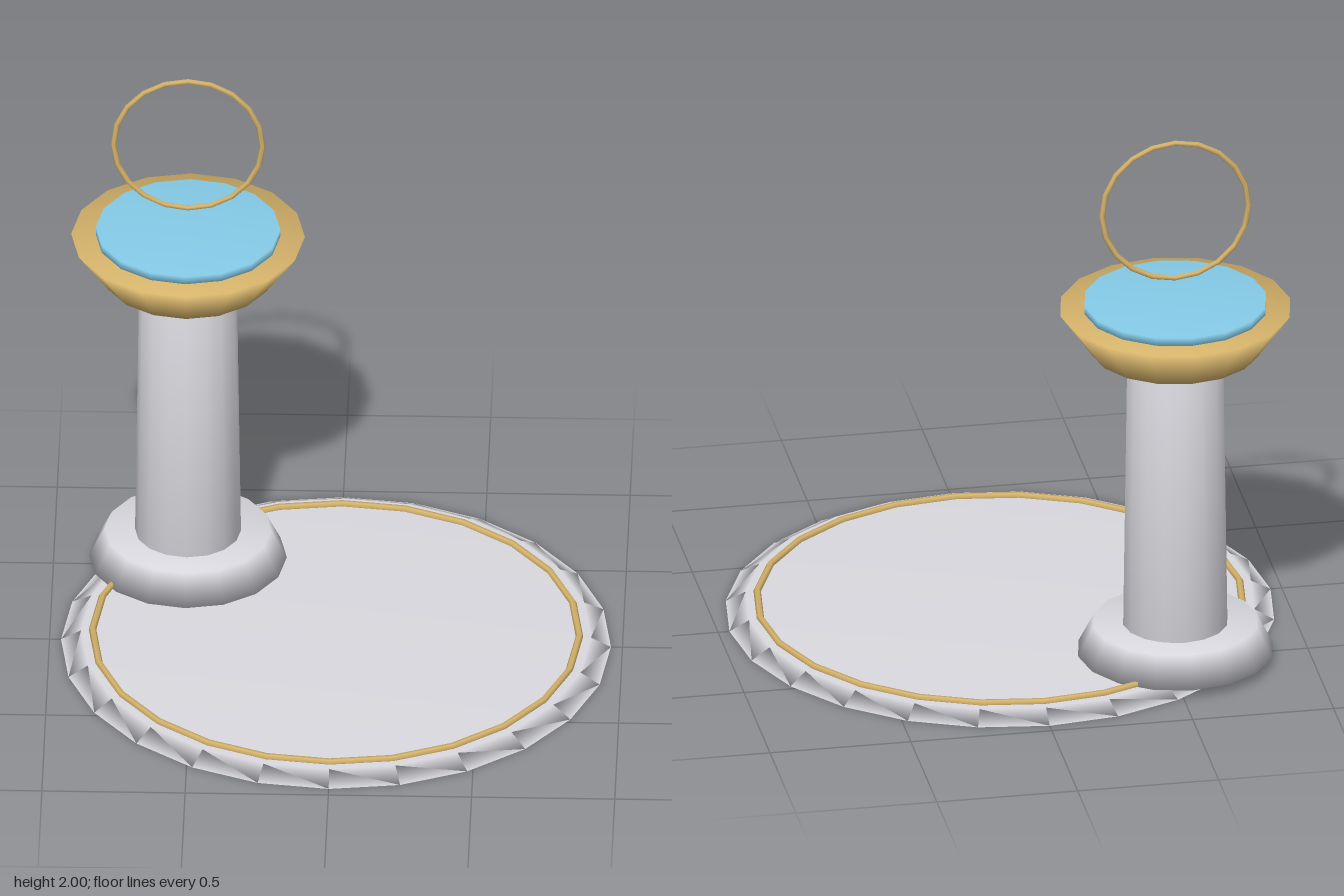
import * as THREE from 'three';

export function createModel() {
  const stone = new THREE.MeshStandardMaterial({ name: 'paleStone', color: 0xd8d8de });
  const gold = new THREE.MeshStandardMaterial({ name: 'gold', color: 0xd4b26a });
  const water = new THREE.MeshStandardMaterial({ name: 'waterBlue', color: 0x87ceeb });

  const model = new THREE.Group();
  model.name = 'pedestalFountain';

  const add = (parent, name, geometry, material, y = 0) => {
    const mesh = new THREE.Mesh(geometry, material);
    mesh.name = name;
    mesh.position.y = y;
    parent.add(mesh);
    return mesh;
  };

  // Closed, softly shaded tapered drum
  const drum = (rBottom, rTop, y0, y1, sides) => new THREE.LatheGeometry([
    new THREE.Vector2(0, y0),
    new THREE.Vector2(rBottom, y0),
    new THREE.Vector2(rTop, y1),
    new THREE.Vector2(0, y1),
  ], sides);

  // Round floor plate with inlaid ring
  add(model, 'basePlate', drum(0.96, 0.89, 0, 0.038, 24), stone);
  const inlay = new THREE.TorusGeometry(0.85, 0.013, 6, 24).rotateX(Math.PI / 2);
  add(model, 'baseRing', inlay, gold, 0.042);

  // Pedestal standing off-centre, overhanging the plate
  const pedestal = new THREE.Group();
  pedestal.name = 'pedestal';
  pedestal.position.set(-0.53, 0, -0.5);
  model.add(pedestal);

  add(pedestal, 'foot', drum(0.345, 0.29, 0.038, 0.147, 16), stone);
  add(pedestal, 'column', drum(0.185, 0.17, 0.14, 1.21, 16), stone);
  add(pedestal, 'basin', drum(0.295, 0.408, 1.197, 1.357, 16), gold);
  add(pedestal, 'waterSurface', drum(0.322, 0.322, 1.35, 1.387, 16), water);

  // Upright hoop floating above the basin
  add(pedestal, 'hoop', new THREE.TorusGeometry(0.26, 0.01, 6, 20), gold, 1.73);

  return model;
}
